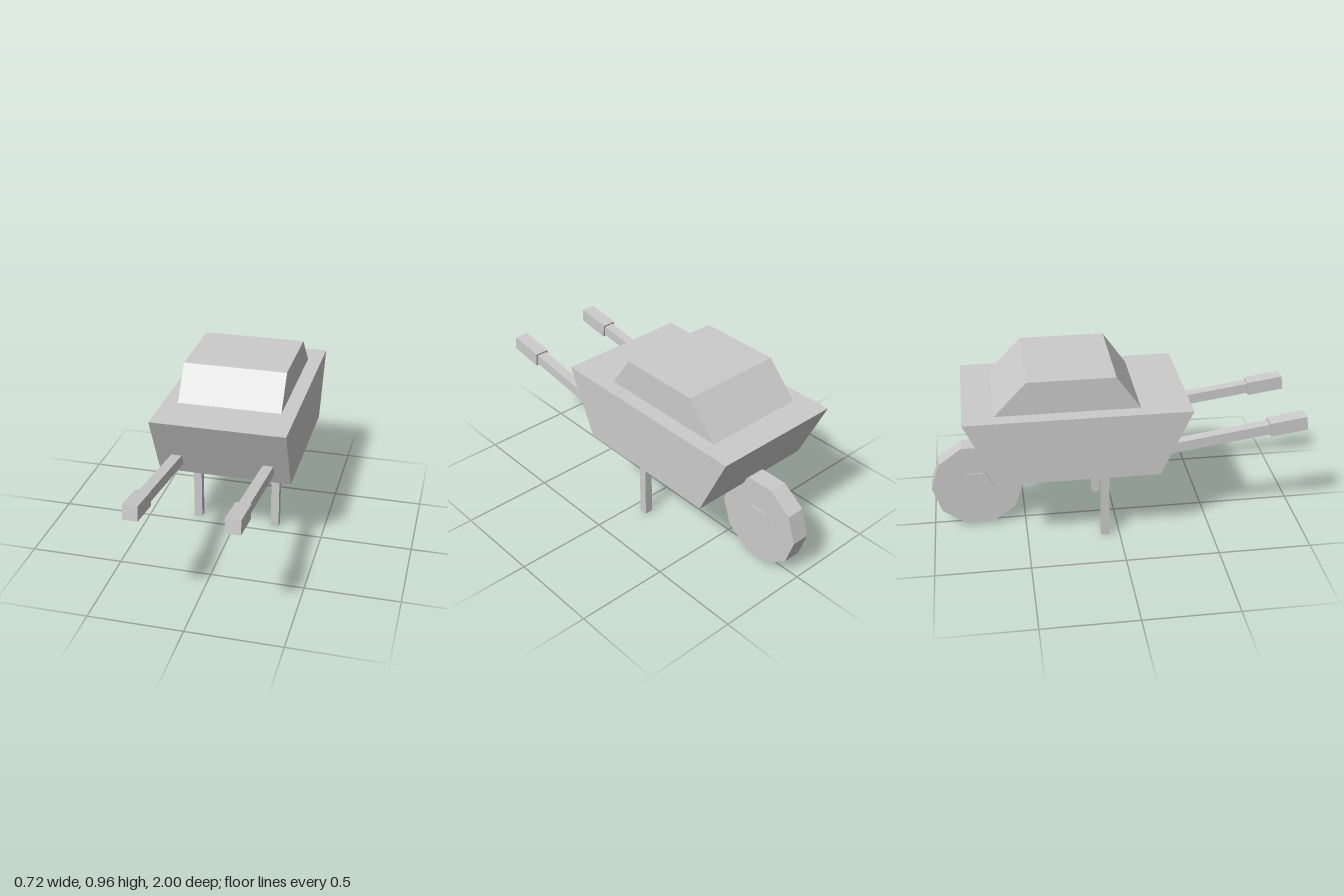
import * as THREE from 'three';

export function createModel() {
  const group = new THREE.Group();
  const material = new THREE.MeshStandardMaterial({ color: 0xcccccc, flatShading: true });

  function add(name, geometry, x = 0, y = 0, z = 0) {
    const mesh = new THREE.Mesh(geometry, material);
    mesh.name = name;
    mesh.position.set(x, y, z);
    group.add(mesh);
    return mesh;
  }

  // Side profile of [z, y] corners, extruded across the width
  function slab(points, width) {
    const shape = new THREE.Shape(points.map(([z, y]) => new THREE.Vector2(z, y)));
    return new THREE.ExtrudeGeometry(shape, { depth: width, bevelEnabled: false })
      .translate(0, 0, -width / 2)
      .rotateY(-Math.PI / 2);
  }

  // Tray and the heaped load on top of it
  add('tray', slab([[0.2, 0.43], [0.365, 0.786], [-0.808, 0.786], [-0.64, 0.43]], 0.718));
  add('load', slab([[0.108, 0.78], [-0.022, 0.965], [-0.476, 0.965], [-0.652, 0.78]], 0.56));

  // Wheel with a slightly protruding hexagonal hub
  const disc = (radius, width, sides) =>
    new THREE.CylinderGeometry(radius, radius, width, sides).rotateZ(Math.PI / 2);
  add('wheel', disc(0.247, 0.1, 10), 0, 0.25, -0.753);
  add('hub', disc(0.09, 0.112, 6), 0, 0.25, -0.753);

  // Sloping handles: both shaft and grip lie on one line
  const back = new THREE.Vector3(0, 0.409, -0.574);
  const front = new THREE.Vector3(0, 0.632, 0.995);
  const length = back.distanceTo(front);
  const tilt = -Math.atan2(front.y - back.y, front.z - back.z);
  const gripLength = 0.2;

  function bar(name, x, size, from, to) {
    const p = back.clone().lerp(front, (from + to) / 2 / length);
    add(name, new THREE.BoxGeometry(size, size, to - from), x, p.y, p.z).rotation.x = tilt;
  }

  for (const side of [-1, 1]) {
    const label = side > 0 ? 'left' : 'right';
    bar(label + 'Handle', side * 0.247, 0.057, 0, length - gripLength / 2);
    bar(label + 'Grip', side * 0.247, 0.077, length - gripLength, length);
    add(label + 'Leg', new THREE.BoxGeometry(0.045, 0.45, 0.045), side * 0.224, 0.225, -0.077);
  }

  return group;
}
